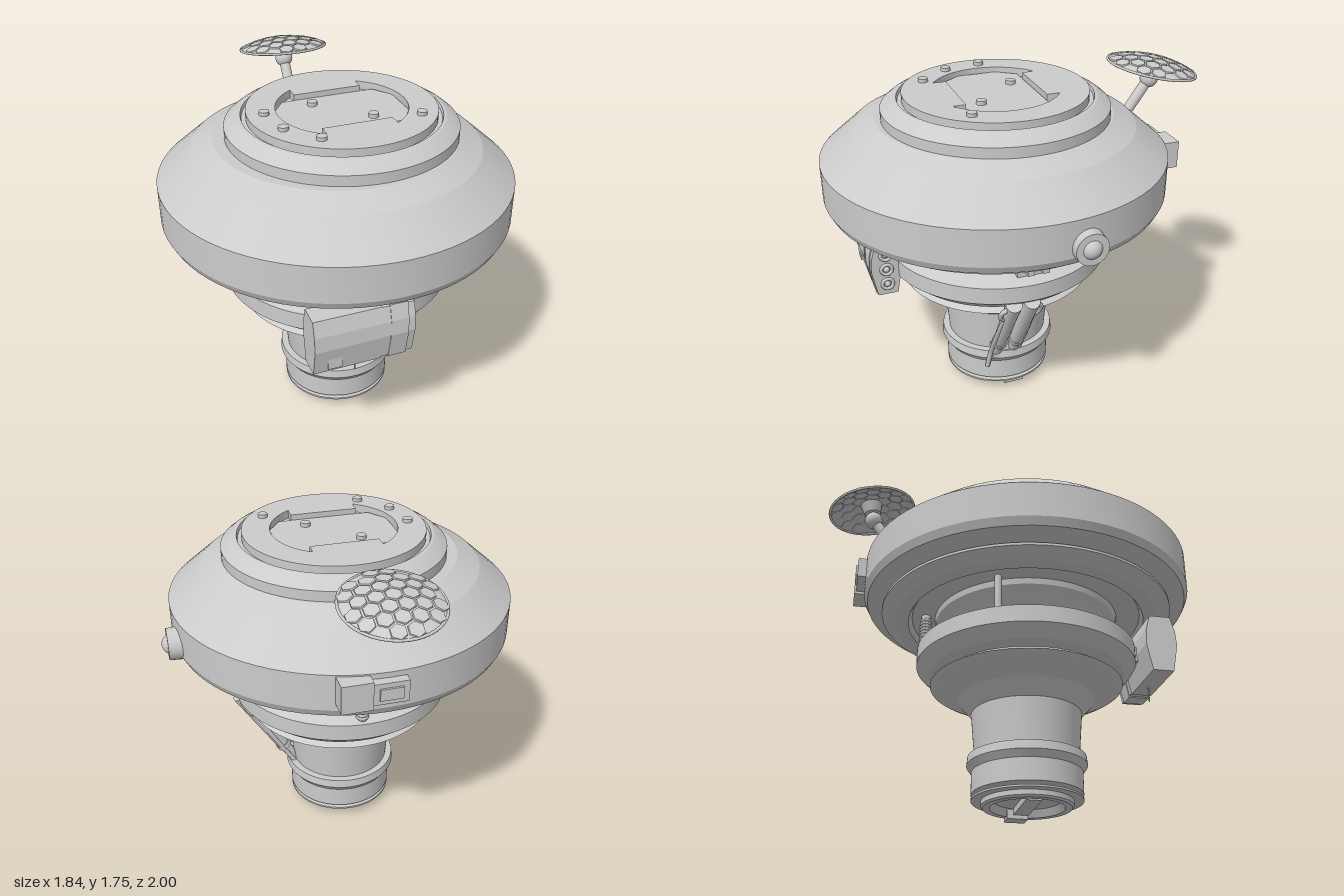
import * as THREE from 'three';
import { toCreasedNormals } from 'three/addons/utils/BufferGeometryUtils.js';

const mat = new THREE.MeshStandardMaterial({ color: 0xcccccc });
const matDouble = new THREE.MeshStandardMaterial({ color: 0xcccccc, side: THREE.DoubleSide });
const AX = -0.03, AZ = 0.113; // main axis
const V = (x, y, z) => new THREE.Vector3(x, y, z);

export function createModel() {
  const root = new THREE.Group();

  const add = (name, geo, x = 0, y = 0, z = 0, parent = root, m = mat) => {
    const mesh = new THREE.Mesh(geo, m);
    mesh.name = name;
    mesh.position.set(x, y, z);
    parent.add(mesh);
    return mesh;
  };
  const lathe = (name, pts, x = AX, z = AZ) => {
    const g = new THREE.LatheGeometry(pts.map(p => new THREE.Vector2(...p)), 80);
    return add(name, toCreasedNormals(g, 0.25), x, 0, z);
  };
  const box = (name, x0, x1, y0, y1, z0, z1, parent = root) =>
    add(name, new THREE.BoxGeometry(x1 - x0, y1 - y0, z1 - z0), (x0 + x1) / 2, (y0 + y1) / 2, (z0 + z1) / 2, parent);
  // cylinder between two points
  const rod = (name, a, b, r, r2 = r, seg = 20, parent = root) => {
    const d = b.clone().sub(a);
    const m = add(name, new THREE.CylinderGeometry(r2, r, d.length(), seg), 0, 0, 0, parent);
    m.position.copy(a).addScaledVector(d, 0.5);
    m.quaternion.setFromUnitVectors(V(0, 1, 0), d.normalize());
    return m;
  };
  const extrude = (shape, depth) =>
    new THREE.ExtrudeGeometry(shape, { depth, bevelEnabled: false, curveSegments: 40 });
  const polygon = pts => new THREE.Shape(pts.map(p => new THREE.Vector2(...p)));

  // Foot with hollow underside
  lathe('foot', [[0, 0.06], [0.17, 0.06], [0.19, 0.02], [0.225, 0.02], [0.235, 0.03], [0.235, 0.055],
    [0.285, 0.055], [0.285, 0.065], [0.19, 0.068], [0.19, 0.09]]);
  box('footBar', AX - 0.15, AX + 0.15, 0.025, 0.062, AZ - 0.04, AZ + 0.04);
  box('footTab', 0.12, 0.21, 0.005, 0.055, 0.04, 0.15);

  // Column, collars and neck
  lathe('column', [[0, 0.085], [0.285, 0.085], [0.285, 0.2], [0.31, 0.235], [0.305, 0.28], [0.27, 0.28],
    [0.29, 0.513], [0.36, 0.59]]);
  lathe('lowerCollar', [[0.34, 0.57], [0.36, 0.59], [0.50, 0.66], [0.51, 0.667], [0.46, 0.7], [0.44, 0.7]]);
  lathe('upperCollar', [[0.44, 0.69], [0.52, 0.715], [0.585, 0.773], [0.585, 0.862], [0.46, 0.905], [0.36, 0.905]]);
  lathe('neck', [[0.36, 0.89], [0.37, 0.905], [0.49, 1.03], [0.5, 1.08]]);

  // Saucer head
  lathe('underRing', [[0.48, 1.06], [0.62, 1.06], [0.64, 1.03], [0.713, 1.03], [0.775, 1.066],
    [0.785, 1.07], [0.785, 1.084], [0.74, 1.09]]);
  lathe('saucer', [[0.7, 1.085], [0.77, 1.098], [0.826, 1.12], [0.865, 1.125], [0.885, 1.165], [0.885, 1.353],
    [0.716, 1.5], [0.6, 1.555], [0, 1.555]]);
  lathe('crown', [[0.573, 1.53], [0.573, 1.608], [0.537, 1.637], [0.505, 1.655], [0.49, 1.657], [0.485, 1.64],
    [0.47, 1.64], [0, 1.64]], 0, AZ);

  // Top plate with cut-out hatch
  const plate = new THREE.Shape().absarc(0, 0, 0.465, 0, Math.PI * 2);
  const hatch = new THREE.Path();
  const a = Math.atan2(0.27, 0.175);
  hatch.absarc(0, 0, 0.322, -a, a);
  hatch.lineTo(0.175, 0.205);
  hatch.lineTo(-0.175, 0.205);
  hatch.absarc(0, 0, 0.322, Math.PI - a, Math.PI + a);
  hatch.lineTo(-0.175, -0.205);
  hatch.lineTo(0.175, -0.205);
  hatch.closePath();
  plate.holes.push(hatch);
  add('topPlate', toCreasedNormals(extrude(plate, 0.045).rotateX(-Math.PI / 2), 0.4), 0, 1.637, AZ);
  const slab = polygon([[0.31, -0.1], [0.31, 0.1], [0.24, 0.2], [-0.24, 0.2], [-0.31, 0.1], [-0.31, -0.1], [-0.24, -0.2], [0.24, -0.2]]);
  add('hatchFloor', extrude(slab, 0.015).rotateX(-Math.PI / 2), 0, 1.64, AZ);
  for (const [x, z, y] of [[-0.38, 0.08, 1.685], [-0.345, 0.27, 1.685], [-0.215, 0.425, 1.685],
    [0.32, 0.335, 1.685], [-0.11, -0.005, 1.66], [0.12, 0.225, 1.66]])
    add('bolt', new THREE.CylinderGeometry(0.025, 0.025, 0.03, 20), x, y, z);

  // Dish antenna with hexagonal panels
  const dish = new THREE.Group();
  dish.name = 'dish';
  dish.position.set(-0.02, 1.685, -0.762);
  dish.rotation.x = -0.19;
  root.add(dish);
  const R = 0.6, H = 0.05;
  const capY = r => Math.sqrt(R * R - r * r) - R + H;
  const capPts = [];
  for (let i = 0; i <= 10; i++) capPts.push(new THREE.Vector2(0.238 * (1 - i / 10), capY(0.238 * (1 - i / 10))));
  add('dishShell', new THREE.LatheGeometry(capPts, 48), 0, 0, 0, dish, matDouble);
  add('dishRim', new THREE.TorusGeometry(0.236, 0.007, 8, 48).rotateX(Math.PI / 2), 0, 0, 0, dish);
  const pitch = 0.076;
  for (let j = -4; j <= 4; j++) for (let i = -4; i <= 4; i++) {
    const x = (i + (j & 1) / 2) * pitch, z = j * pitch * 0.866, r = Math.hypot(x, z);
    if (r > 0.21) continue;
    const hex = add('dishPanel', new THREE.CylinderGeometry(0.038, 0.041, 0.012, 6), x, capY(r), z, dish);
    hex.quaternion.setFromUnitVectors(V(0, 1, 0), V(x, Math.sqrt(R * R - r * r), z).normalize());
  }
  add('dishHub', new THREE.CylinderGeometry(0.06, 0.045, 0.06, 24), 0, 0.012, 0, dish);
  add('dishJoint', new THREE.SphereGeometry(0.048, 24, 16), -0.02, 1.625, -0.75);
  rod('dishArm', V(-0.02, 1.44, -0.62), V(-0.02, 1.625, -0.75), 0.028);

  // Side lamp
  rod('lampHousing', V(0.8, 1.215, -0.03), V(0.893, 1.215, -0.03), 0.085, 0.08, 32);
  add('lampLens', new THREE.SphereGeometry(0.052, 24, 16), 0.87, 1.215, -0.03);

  // Rear equipment box
  box('rearBox', 0.07, 0.22, 1.2, 1.345, -0.825, -0.68);
  box('rearBoxSide', -0.1, 0.07, 1.215, 1.325, -0.815, -0.7);
  box('rearBoxLid', -0.07, 0.04, 1.24, 1.3, -0.825, -0.8);

  // Front pod: octagonal section run along x, ports on its left end
  const pod = (name, x0, x1, s) => {
    const prof = [[0.055, -0.155], [0.083, -0.01], [0.078, 0.07], [0.055, 0.15], [-0.055, 0.15],
      [-0.078, 0.07], [-0.083, -0.01], [-0.055, -0.155]].map(([z, y]) => [-z * s, y * s]);
    return add(name, extrude(polygon(prof), x1 - x0).rotateY(Math.PI / 2), x0, 0.825, 0.745);
  };
  pod('podBody', -0.4, -0.06, 1);
  pod('podMiddle', -0.06, -0.02, 0.96);
  pod('podEnd', -0.02, 0.07, 1);
  pod('podCap', 0.07, 0.105, 0.94);
  for (const y of [0.91, 0.825, 0.74]) {
    add('podPort', new THREE.TorusGeometry(0.028, 0.009, 8, 24).rotateY(Math.PI / 2), 0.107, y, 0.745);
    add('podPortCore', new THREE.SphereGeometry(0.016, 16, 10), 0.104, y, 0.745);
  }
  box('podLowerPanel', -0.33, -0.26, 0.69, 0.78, 0.74, 0.815);
  rod('podAntenna', V(-0.17, 0.59, 0.745), V(-0.17, 0.68, 0.745), 0.004, 0.004, 8);
  box('podMount', -0.25, -0.05, 0.78, 0.86, 0.62, 0.7);

  // Twin struts with outer hoses
  const top = V(0.535, 0.755, 0), low = V(0.245, 0.28, 0);
  const at = (t, z) => top.clone().lerp(low, t).setZ(z);
  for (const [z, side, end] of [[0.21, 1, 0.17], [0.115, -1, 0.24]]) {
    rod('strutBarrel', at(0.78, z), at(0, z), 0.036, 0.042);
    rod('strutPiston', at(1, z), at(0.78, z), 0.03);
    rod('strutCollar', at(0.82, z), at(0.77, z), 0.042);
    const hose = new THREE.CatmullRomCurve3([at(0.05, z + side * 0.03), at(0.1, z + side * 0.056), at(0.2, z + side * 0.056),
      at(0.27, z + side * 0.03), at(0.6, z + side * 0.034), at(0.98, z + side * 0.034),
      V(0.215, end, z + side * 0.045)], false, 'catmullrom', 0.2);
    add('strutHose', new THREE.TubeGeometry(hose, 40, 0.013, 8), 0.01, 0, 0);
  }
  box('strutFoot', 0.2, 0.265, 0.24, 0.32, 0.09, 0.235);

  // Side bracket with two drilled lugs
  box('bracketBlock', 0.41, 0.5, 0.885, 1.04, 0.05, 0.18);
  const lug = polygon([[0.44, 0.96], [0.62, 0.96], [0.62, 1.03], [0.44, 1.03]]);
  lug.holes.push(new THREE.Path().absarc(0.572, 0.995, 0.027, 0, Math.PI * 2));
  for (const z of [0.06, 0.135]) add('bracketLug', extrude(lug, 0.035), 0, 0, z);

  // Ribbed rear pillar and thin side post
  rod('rearPillar', V(0, 0.86, -0.43), V(0, 1.07, -0.43), 0.025);
  for (let i = 0; i < 9; i++)
    add('pillarRib', new THREE.TorusGeometry(0.026, 0.008, 6, 20).rotateX(Math.PI / 2), 0, 0.885 + i * 0.018, -0.43);
  rod('sidePost', V(-0.505, 0.86, -0.13), V(-0.505, 1.07, -0.13), 0.018);

  return root;
}
